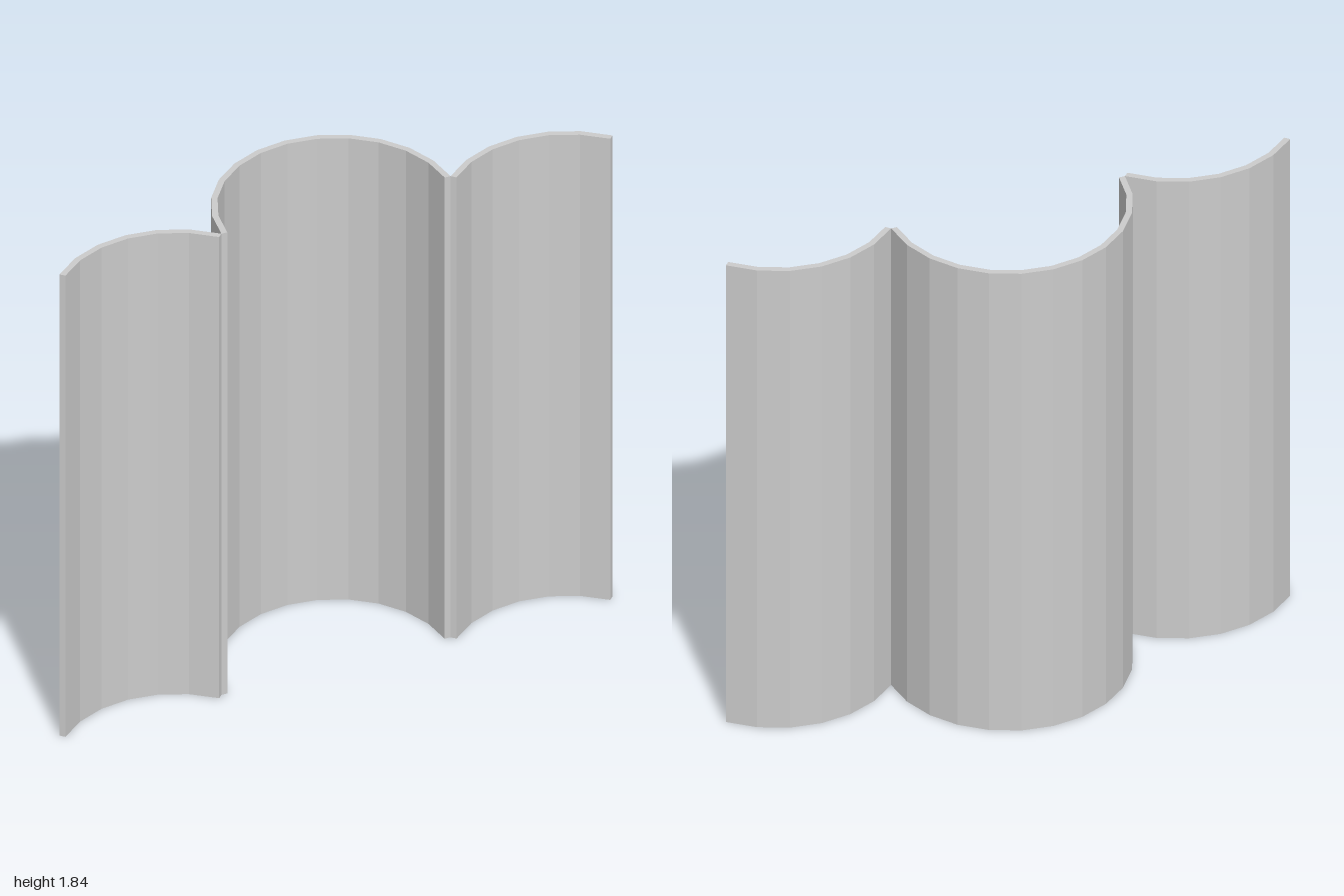
import * as THREE from 'three';

const HEIGHT = 1.84, OUTER = 0.414, INNER = 0.393, STEP = Math.PI / 12;

// Curved upright panel: a faceted ring sector, bulging to the back, extruded upwards
function curvedPanel(name, x, z, segments, material) {
  const start = Math.PI / 2 - (segments * STEP) / 2;
  const arc = (radius) => Array.from({ length: segments + 1 }, (_, i) => {
    const a = start + i * STEP;
    return new THREE.Vector2(x + radius * Math.cos(a), -z + radius * Math.sin(a));
  });
  const outline = new THREE.Shape([...arc(OUTER), ...arc(INNER).reverse()]);
  const geometry = new THREE.ExtrudeGeometry(outline, { depth: HEIGHT, bevelEnabled: false });
  geometry.rotateX(-Math.PI / 2);
  const mesh = new THREE.Mesh(geometry, material);
  mesh.name = name;
  return mesh;
}

export function createModel() {
  const group = new THREE.Group();
  group.name = 'curvedScreen';
  const material = new THREE.MeshStandardMaterial({ color: 0xcccccc, flatShading: true });

  // Half-round centre panel
  const endZ = 0.2;
  group.add(curvedPanel('centrePanel', 0, endZ, 12, material));

  // Quarter-round wings touching the centre panel's edges
  const reach = OUTER * Math.SQRT1_2;
  for (const [name, side] of [['leftWing', 1], ['rightWing', -1]]) {
    group.add(curvedPanel(name, side * (OUTER + reach), endZ + reach, 6, material));
  }
  return group;
}
